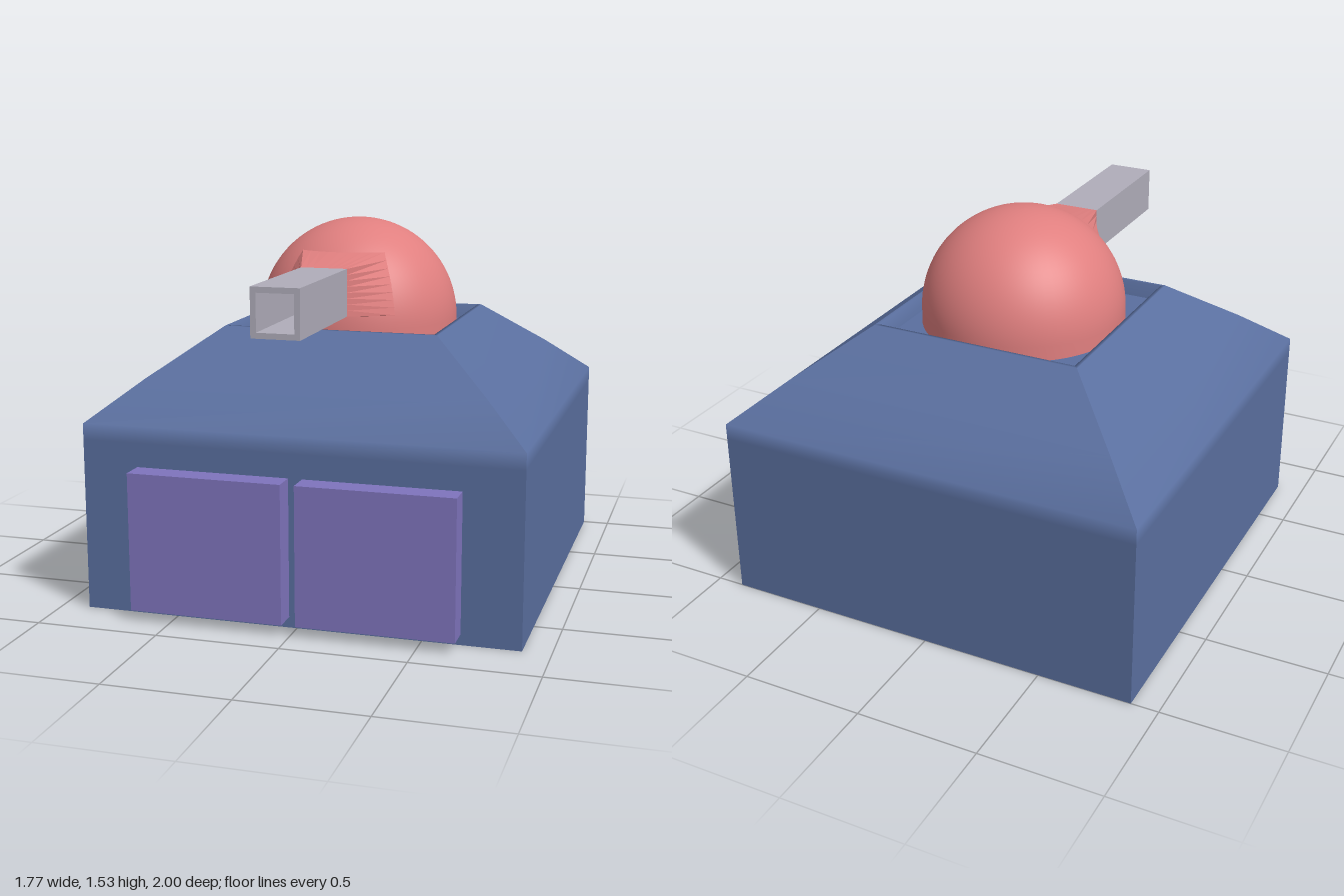
import * as THREE from 'three';
import { mergeGeometries } from 'three/addons/utils/BufferGeometryUtils.js';

const CZ = -0.1125; // z of the body and dome axis
const DOME_Y = 1.11;
const DOME_R = 0.42;

const mat = (color, extra = {}) => new THREE.MeshStandardMaterial({ color, ...extra });

function addMesh(parent, name, geometry, material) {
  const mesh = new THREE.Mesh(geometry, material);
  mesh.name = name;
  parent.add(mesh);
  return mesh;
}

// Sweeps a [halfWidth, y] profile around a square: smooth along it, sharp at corners
function squareLathe(profile) {
  const side = new THREE.BufferGeometry();
  const pos = [], index = [];
  profile.forEach(([r, y], i) => {
    pos.push(-r, y, r, r, y, r);
    if (i) {
      const a = 2 * i - 2;
      index.push(a, a + 1, a + 3, a, a + 3, a + 2);
    }
  });
  side.setAttribute('position', new THREE.Float32BufferAttribute(pos, 3));
  side.setIndex(index);
  side.computeVertexNormals();
  return mergeGeometries([0, 1, 2, 3].map((k) => side.clone().rotateY((k * Math.PI) / 2)));
}

// Collar lofted from an outline lying on the dome to the square barrel root
function collarGeometry() {
  const n = 8, outer = [], inner = [];
  const onDome = (x, y) => new THREE.Vector3(
    x, y, CZ + Math.sqrt((DOME_R - 0.002) ** 2 - x * x - (y - DOME_Y) ** 2));
  const lerp = THREE.MathUtils.lerp;
  const sideX = (t) => lerp(0.25, 0.177, t) + 0.012 * Math.sin(Math.PI * t);
  const edges = [
    (t) => [lerp(-0.25, 0.25, t), 1.165, lerp(-0.095, 0.095, t), 1.18],
    (t) => [sideX(t), lerp(1.165, 1.41, t), 0.095, lerp(1.18, 1.37, t)],
    (t) => [lerp(0.177, -0.177, t), 1.41, lerp(0.095, -0.095, t), 1.37],
    (t) => [-sideX(1 - t), lerp(1.41, 1.165, t), -0.095, lerp(1.37, 1.18, t)],
  ];
  for (const edge of edges) {
    for (let i = 0; i < n; i++) {
      const [ox, oy, ix, iy] = edge(i / n);
      outer.push(onDome(ox, oy));
      inner.push(new THREE.Vector3(ix, iy, 0.4));
    }
  }
  const centre = new THREE.Vector3(0, 1.275, 0.4);
  const points = [];
  outer.forEach((o, i) => {
    const j = (i + 1) % outer.length;
    points.push(o, outer[j], inner[j], o, inner[j], inner[i], inner[i], inner[j], centre);
  });
  const geometry = new THREE.BufferGeometry().setFromPoints(points);
  geometry.computeVertexNormals();
  return geometry;
}

export function createModel() {
  const model = new THREE.Group();
  model.name = 'domedTurret';
  const blue = mat(0x5a6f9f);
  const red = mat(0xe07f7f);
  const purple = mat(0x7f74bd);
  const grey = mat(0xb0adba);

  // Base block with softened shoulder, sloping roof, sunken top and underside
  const base = new THREE.Group();
  base.name = 'base';
  base.position.z = CZ;
  model.add(base);
  addMesh(base, 'walls', squareLathe([[0.8875, 0], [0.8875, 0.7], [0.8875, 0.765], [0.7, 0.92], [0.447, 1.11]]), blue);
  addMesh(base, 'recessWalls', squareLathe([[0.447, 1.11], [0.432, 1.11], [0.415, 1.05]]), blue);
  addMesh(base, 'recessFloor', squareLathe([[0.415, 1.05], [0, 1.05]]), blue);
  addMesh(base, 'underside', squareLathe([[0, 0], [0.8875, 0]]), blue);

  // Dome with a short straight skirt sunk into the recess
  const profile = [new THREE.Vector2(DOME_R, 1.05)];
  for (let i = 0; i <= 24; i++) {
    const a = (i / 24) * (Math.PI / 2);
    profile.push(new THREE.Vector2(i === 24 ? 0 : DOME_R * Math.cos(a), DOME_Y + DOME_R * Math.sin(a)));
  }
  addMesh(model, 'dome', new THREE.LatheGeometry(profile, 64), red).position.z = CZ;

  // Tapered collar holding the barrel
  addMesh(model, 'barrelCollar', collarGeometry(), red);

  // Hollow square barrel
  const square = (Type, h) => new Type(
    [[-h, -h], [h, -h], [h, h], [-h, h]].map(([x, y]) => new THREE.Vector2(x, y)));
  const section = square(THREE.Shape, 0.095);
  section.holes.push(square(THREE.Path, 0.073));
  const barrel = new THREE.ExtrudeGeometry(section, { depth: 0.6, bevelEnabled: false });
  addMesh(model, 'barrel', barrel, grey).position.set(0, 1.275, 0.4);

  // Pair of front panels
  for (const [name, x] of [['rightPanel', -0.345], ['leftPanel', 0.338]]) {
    addMesh(model, name, new THREE.BoxGeometry(0.627, 0.56, 0.1), purple).position.set(x, 0.323, 0.825);
  }

  return model;
}
